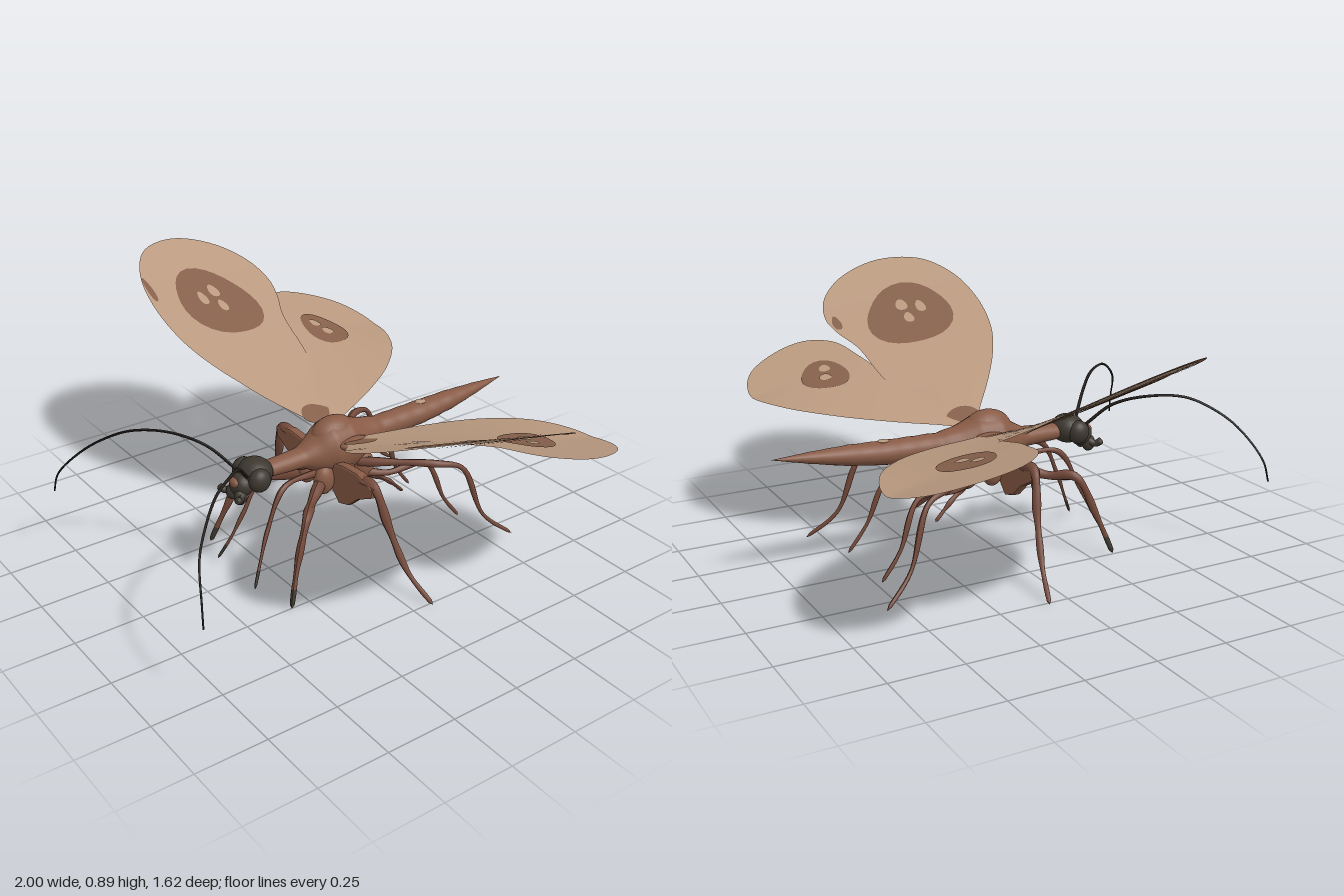
import * as THREE from 'three';

const mat = (name, color) => {
  const m = new THREE.MeshStandardMaterial({ color });
  m.name = name;
  return m;
};
const V = (p) => new THREE.Vector3(...p);

// Tube along points whose half width and half height follow a rule
function taperedTube(points, radii, steps, sides) {
  const curve = new THREE.CatmullRomCurve3(points.map(V));
  const geo = new THREE.TubeGeometry(curve, steps, 1, sides);
  const pos = geo.attributes.position;
  for (let i = 0; i < pos.count; i++) {
    const t = Math.floor(i / (sides + 1)) / steps;
    const c = curve.getPointAt(t);
    const [rx, ry] = radii(t, c);
    pos.setXYZ(i, c.x + (pos.getX(i) - c.x) * rx, c.y + (pos.getY(i) - c.y) * ry,
      c.z + (pos.getZ(i) - c.z) * rx);
  }
  geo.computeVertexNormals();
  return geo;
}

// One-sided sheet: rings between a centre and an outline, lifted by a height rule.
// Only the part further than minX from the body is built.
function sheet(outline, centre, r0, height, lift, up, minX = 0) {
  const area = outline.reduce((s, p, i) => {
    const q = outline[(i + 1) % outline.length];
    return s + p[0] * q[1] - p[1] * q[0];
  }, 0);
  const pts = (area > 0) === up ? [...outline].reverse() : outline;
  const n = pts.length, rings = 8, pos = [], idx = [];
  for (let j = 0; j <= rings; j++) {
    const r = r0 + (1 - r0) * j / rings;
    for (const p of pts) {
      const x = centre[0] + (p[0] - centre[0]) * r, z = centre[1] + (p[1] - centre[1]) * r;
      pos.push(x, height(Math.abs(x), z) + (up ? lift : -lift), z);
    }
  }
  for (let j = 0; j < rings; j++) for (let i = 0; i < n; i++) {
    if (Math.abs(pts[i][0]) < minX) continue;
    const a = j * n + i, b = j * n + (i + 1) % n, c = a + n, d = b + n;
    if (j > 0 || r0 > 0) idx.push(a, d, b);
    idx.push(a, c, d);
  }
  const geo = new THREE.BufferGeometry();
  geo.setAttribute('position', new THREE.Float32BufferAttribute(pos, 3));
  geo.setIndex(idx);
  geo.computeVertexNormals();
  return geo;
}

const smoothLoop = (pts, n) => new THREE.CatmullRomCurve3(
  pts.map(([x, z]) => new THREE.Vector3(x, 0, z)), true).getPoints(n).slice(0, n).map((p) => [p.x, p.z]);

// Slightly wobbly oval for wing markings
const blob = (x, z, rx, rz) => Array.from({ length: 28 }, (_, i) => {
  const a = i / 28 * Math.PI * 2, k = 1 + 0.06 * Math.sin(3 * a + 1);
  return [x + Math.cos(a) * rx * k, z + Math.sin(a) * rz * k];
});

export function createModel() {
  const root = new THREE.Group();
  const tan = mat('wing tan', 0xb9997f), spot = mat('wing spot brown', 0x85604b);
  const brown = mat('body brown', 0x875a45), legBrown = mat('leg brown', 0x74493a);
  const dark = mat('head dark', 0x3d372f), black = mat('antenna black', 0x241f1c);

  const add = (name, geo, m, parent = root) => {
    const mesh = new THREE.Mesh(geo, m);
    mesh.name = name;
    parent.add(mesh);
    return mesh;
  };
  const ball = (name, m, p, s, parent) => {
    const mesh = add(name, new THREE.SphereGeometry(1, 20, 14), m, parent);
    mesh.position.set(...p);
    mesh.scale.set(...s);
  };

  // Body: z, centre y, half width, half height
  const stations = [
    [0.26, 0.40, 0.0, 0.0], [0.245, 0.40, 0.034, 0.028], [0.11, 0.4, 0.042, 0.036],
    [0.05, 0.4, 0.068, 0.07], [0, 0.405, 0.088, 0.1], [-0.08, 0.405, 0.085, 0.098],
    [-0.15, 0.41, 0.062, 0.065], [-0.22, 0.415, 0.046, 0.045], [-0.42, 0.422, 0.047, 0.041],
    [-0.55, 0.432, 0.039, 0.034], [-0.68, 0.444, 0.022, 0.019], [-0.81, 0.456, 0, 0]];
  const bodyRadii = (t, c) => {
    let i = 0;
    while (i < stations.length - 2 && c.z < stations[i + 1][0]) i++;
    const a = stations[i], b = stations[i + 1];
    const f = THREE.MathUtils.clamp((c.z - a[0]) / (b[0] - a[0]), 0, 1);
    const ridge = c.z < -0.18 ? 1 + 0.015 * Math.sin(c.z * 90) : 1;
    return [2, 3].map((k) => (a[k] + (b[k] - a[k]) * f) * ridge);
  };
  add('body', taperedTube(stations.map((s) => [0, s[1], s[0]]), bodyRadii, 140, 24), brown);
  ball('thoraxHump', brown, [0, 0.45, -0.03], [0.06, 0.068, 0.09]);
  ball('abdomenFleck', tan, [0, 0.462, -0.42], [0.018, 0.004, 0.02]);

  // Head
  const head = new THREE.Group();
  head.name = 'head';
  root.add(head);
  ball('skull', dark, [0, 0.405, 0.295], [0.064, 0.052, 0.06], head);
  ball('muzzle', dark, [0, 0.375, 0.35], [0.045, 0.042, 0.04], head);
  ball('face', brown, [0, 0.39, 0.377], [0.025, 0.018, 0.015], head);

  // Wings: outline in x and z, height rule, markings
  const wings = [
    {
      name: 'forewing', centre: [0.6, 0],
      outline: [[0.08, -0.04], [0.16, 0.03], [0.35, 0.18], [0.5, 0.255], [0.67, 0.278], [0.82, 0.25],
        [0.94, 0.165], [1, 0], [0.97, -0.17], [0.89, -0.27], [0.8, -0.3], [0.72, -0.285],
        [0.62, -0.245], [0.43, -0.22], [0.28, -0.16], [0.12, -0.1]],
      height: (x, z) => 0.42 + 0.36 * x + 0.1 * x * x + 0.22 * z * Math.min(1, x / 0.3),
      spot: [0.69, 0.0, 0.155, 0.165], underSpot: [0.72, 0.01, 0.19, 0.17],
      pale: [[0.67, -0.01, 0.026, 0.018], [0.74, -0.01, 0.028, 0.022], [0.705, 0.055, 0.03, 0.018]],
      shoulderPatch: [0.13, -0.055, 0.045, 0.065], underPatch: [0.2, -0.06, 0.11, 0.05], rim: 0.93,
      edgePatch: { left: [0.76, -0.27, 0.035, 0.016], right: [0.75, 0.25, 0.055, 0.013] },
    },
    {
      name: 'hindwing', centre: [0.55, -0.42],
      outline: [[0.07, -0.08], [0.11, -0.19], [0.17, -0.32], [0.27, -0.48], [0.41, -0.61], [0.6, -0.672],
        [0.76, -0.62], [0.845, -0.49], [0.855, -0.37], [0.78, -0.28], [0.6, -0.235], [0.35, -0.17],
        [0.15, -0.08]],
      height: (x, z) => 0.43 + 0.22 * x + 0.22 * Math.min(1, (x / 0.6) ** 2) * (z + 0.37),
      spot: [0.57, -0.4, 0.105, 0.085], underSpot: [0.6, -0.41, 0.13, 0.095],
      pale: [[0.55, -0.405, 0.024, 0.022], [0.61, -0.385, 0.024, 0.02]],
      underPatch: [0.2, -0.2, 0.075, 0.06],
    }];

  // Legs: points and starting radius
  const legs = [
    ['innerFrontLeg', 0.012, [[0.03, 0.34, 0.06], [0.06, 0.345, 0.22], [0.075, 0.21, 0.3], [0.095, 0.11, 0.345], [0.12, 0.03, 0.385]]],
    ['outerFrontLeg', 0.021, [[0.05, 0.31, 0.06], [0.12, 0.285, 0.15], [0.19, 0.29, 0.215], [0.225, 0.15, 0.28], [0.26, 0.01, 0.33]]],
    ['middleLeg', 0.019, [[0.2, 0.37, 0], [0.275, 0.37, 0], [0.33, 0.24, -0.02], [0.41, 0.09, -0.045], [0.51, 0.002, -0.075]]],
    ['outerHindLeg', 0.016, [[0.05, 0.34, -0.1], [0.24, 0.35, -0.3], [0.275, 0.32, -0.39], [0.31, 0.12, -0.47], [0.355, 0.025, -0.575]]],
    ['innerHindLeg', 0.015, [[0.04, 0.3, -0.1], [0.09, 0.28, -0.2], [0.12, 0.285, -0.35], [0.14, 0.12, -0.43], [0.145, 0.025, -0.5]]],
    ['shortLeg', 0.014, [[0.04, 0.3, -0.1], [0.08, 0.25, -0.2], [0.09, 0.18, -0.275]]]];

  const antenna = [[0.035, 0.42, 0.35], [0.1, 0.5, 0.42], [0.19, 0.54, 0.51], [0.27, 0.542, 0.61],
    [0.34, 0.5, 0.69], [0.4, 0.44, 0.75], [0.48, 0.34, 0.795], [0.5, 0.27, 0.805]];

  for (const s of [1, -1]) {
    const side = s > 0 ? 'left' : 'right';
    const flip = (pts) => pts.map(([x, ...rest]) => [x * s, ...rest]);

    for (const w of wings) {
      const g = new THREE.Group();
      g.name = `${side} ${w.name}`;
      root.add(g);
      const outline = flip(smoothLoop(w.outline, 90)), centre = [w.centre[0] * s, w.centre[1]];
      add('upperSurface', sheet(outline, centre, 0, w.height, 0.002, true), tan, g);
      add('lowerSurface', sheet(outline, centre, 0, w.height, 0.002, false), tan, g);
      const mark = (name, b, lift, up, m) =>
        add(name, sheet(flip(blob(...b)), [b[0] * s, b[1]], 0, w.height, lift, up), m, g);
      mark('upperSpot', w.spot, 0.005, true, spot);
      mark('lowerSpot', w.underSpot, 0.006, false, spot);
      mark('lowerShoulderPatch', w.underPatch, 0.006, false, spot);
      w.pale.forEach((b) => mark('paleFleck', b, 0.008, true, tan));
      if (w.shoulderPatch) mark('upperShoulderPatch', w.shoulderPatch, 0.005, true, spot);
      if (w.edgePatch) mark('edgePatch', w.edgePatch[side], 0.005, true, spot);
      if (w.rim) add('lowerRim', sheet(outline, centre, w.rim, w.height, 0.004, false, 0.65), spot, g);
    }

    for (const [name, r, pts] of legs) {
      const radii = (t) => {
        const k = t > 0.995 ? 0 : r * (1 - 0.65 * t) * (1 + 0.15 * Math.sin(t * 22));
        return [k, k];
      };
      const geo = taperedTube(flip(pts), radii, 40, 8);
      // Front legs end in dark feet
      const shin = (name.includes('Front') ? 35 : 40) * 8 * 6;
      geo.addGroup(0, shin, 0);
      geo.addGroup(shin, geo.index.count - shin, 1);
      add(`${side} ${name}`, geo, [legBrown, dark]);
    }

    // Flattened thigh plate of the middle leg
    const plate = new THREE.Shape(flip([[0.06, 0.37], [0.12, 0.385], [0.2, 0.39], [0.28, 0.37], [0.275, 0.34],
      [0.2, 0.3], [0.15, 0.255], [0.1, 0.24], [0.06, 0.28]]).map((p) => new THREE.Vector2(...p)));
    const plateGeo = new THREE.ExtrudeGeometry(plate, {
      depth: 0.015, bevelThickness: 0.01, bevelSize: 0.006, bevelSegments: 2 });
    plateGeo.translate(0, 0, -0.005);
    add(`${side} thighPlate`, plateGeo, brown);

    // Hip joints and wing shoulders
    [[0.05, 0.045], [0.055, -0.04], [0.045, -0.13]].forEach(([x, z]) =>
      ball(`${side} hip`, brown, [x * s, 0.315, z], [0.032, 0.055, 0.04]));
    ball(`${side} shoulder`, brown, [0.08 * s, 0.44, -0.06], [0.03, 0.02, 0.06]);

    // Eyes, mouth feelers and antennae
    ball(`${side} eye`, dark, [0.052 * s, 0.4, 0.31], [0.032, 0.042, 0.04], head);
    add(`${side} feeler`, taperedTube(flip([[0.025, 0.36, 0.36], [0.045, 0.345, 0.385], [0.062, 0.36, 0.405]]),
      (t) => (t > 0.99 ? [0, 0] : [0.013, 0.013]), 12, 8), dark, head);
    ball(`${side} jaw`, dark, [0.025 * s, 0.345, 0.37], [0.018, 0.03, 0.025], head);
    add(`${side} antenna`, taperedTube(flip(antenna),
      (t) => [0.006 - 0.003 * t, 0.006 - 0.003 * t], 70, 6), black, head);
  }
  return root;
}
